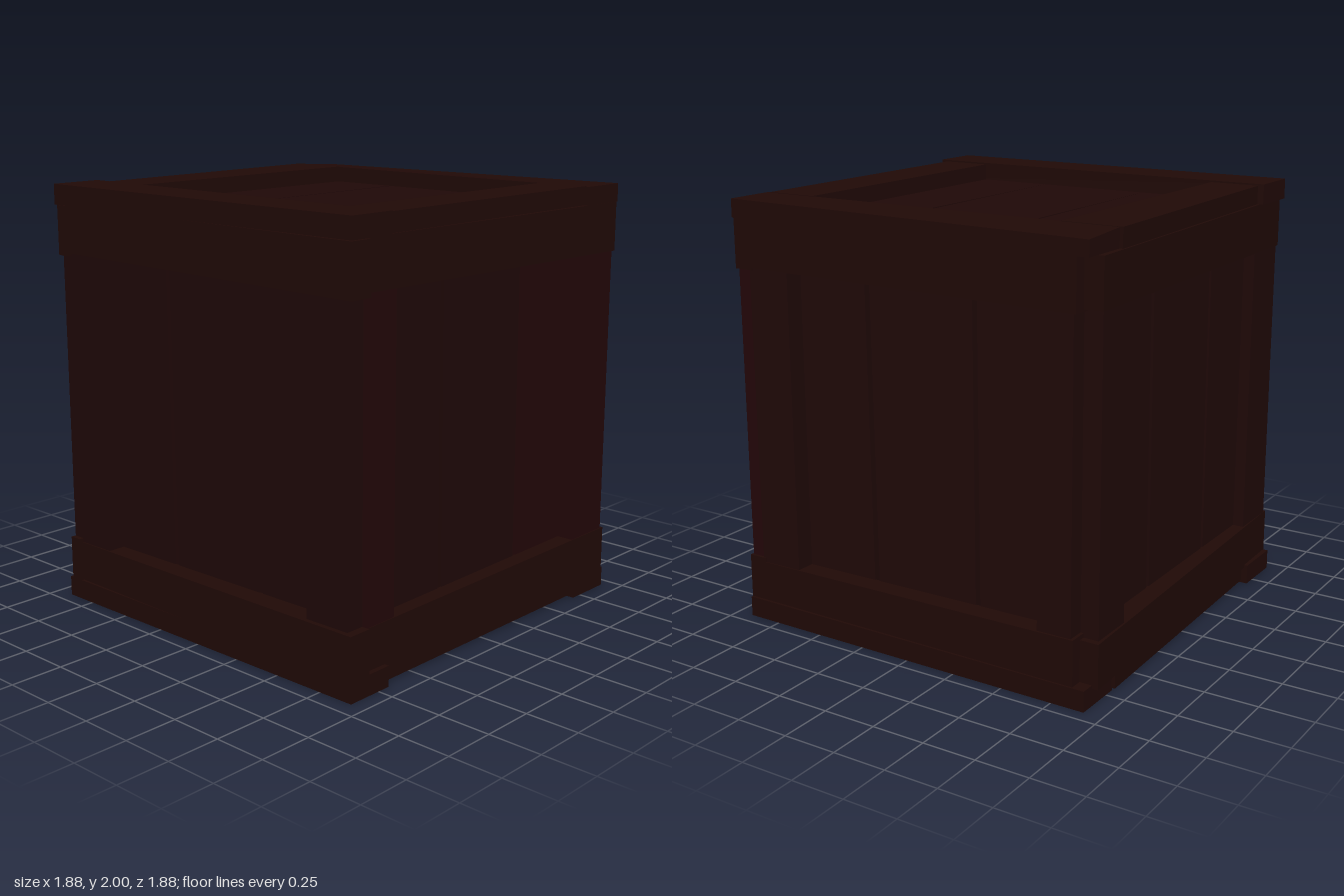
import * as THREE from 'three';

const wood = new THREE.MeshStandardMaterial({ color: 0x200906, flatShading: true });
const darkWood = new THREE.MeshStandardMaterial({ color: 0x1f0807, flatShading: true });
const redWood = new THREE.MeshStandardMaterial({ color: 0x230608, flatShading: true });

// A board between two corners; warp(v) may nudge each corner for a hand-cut look.
function board(name, min, max, material, warp) {
  const size = max.map((m, i) => m - min[i]);
  const geo = new THREE.BoxGeometry(...size);
  geo.translate(...min.map((m, i) => m + size[i] / 2));
  if (warp) {
    const pos = geo.attributes.position;
    const v = new THREE.Vector3();
    for (let i = 0; i < pos.count; i++) {
      v.fromBufferAttribute(pos, i);
      warp(v);
      pos.setXYZ(i, v.x, v.y, v.z);
    }
    geo.computeVertexNormals();
  }
  const mesh = new THREE.Mesh(geo, material);
  mesh.name = name;
  return mesh;
}

// One upright side facing +z. rail and post give the front depth at the left and right;
// railEnds and postEnd say how far the boards reach towards the corners.
function createSide(name, { rail, railEnds, post, postEnd, red }) {
  const side = new THREE.Group();
  side.name = name;
  const inner = 0.825;
  const postWood = red ? redWood : darkWood;

  const slantFront = v => { if (v.z > 0.85) v.z = v.x < 0 ? rail[0] : rail[1]; };
  side.add(
    board('topRail', [railEnds[0], 1.685, inner], [railEnds[1], 1.905, 0.9], wood, v => {
      slantFront(v);
      if (v.y < 1.8 && v.x > 0) v.y -= 0.01;
    }),
    board('bottomRail', [railEnds[0], 0.08, inner], [railEnds[1], 0.285, 0.9], wood, v => {
      slantFront(v);
      if (v.y > 0.2 && v.x > 0) v.y += 0.02;
    }),
    board('leftPost', [-0.84, 0.27, inner], [-0.625, 1.7, post[0]], postWood),
    board('rightPost', [0.67, 0.27, inner], [postEnd, 1.7, post[1]], postWood)
  );

  // Recessed planks with slightly crooked gaps between them
  const edges = [[-0.82, -0.268], [-0.243, 0.295], [0.318, 0.82]];
  edges.forEach(([a, b], i) => side.add(
    board('sidePlank', [a, 0.09, 0.77], [b, 1.905, 0.83], red && i === 2 ? redWood : darkWood, v => {
      if (Math.abs(v.x) < 0.4 && v.y < 1) v.x += v.x > 0.2 ? 0.008 : 0.02;
    })
  ));
  return side;
}

// Lid and base share one layout: long edge boards, cross boards and recessed planks.
function createCap(name, y0, y1, plankY0, plankY1) {
  const cap = new THREE.Group();
  cap.name = name;
  const isLid = name === 'lid';
  const cross = isLid ? [y0, y1 - 0.008] : [y0 + 0.012, y1];
  cap.add(
    board('leftEdgeBoard', [-0.935, y0, -0.91], [-0.685, y1, 0.925], wood, v => {
      if (v.z > 0 && v.x < -0.8) v.x += 0.015;
    }),
    board('rightEdgeBoard', [0.695, y0, -0.91], [0.938, y1, 0.915], wood, v => {
      if (isLid && v.y > 1.95) v.y -= v.z < 0 && v.x > 0.8 ? 0.025 : 0.01;
    }),
    board('frontEdgeBoard', [-0.69, cross[0], 0.65], [0.7, cross[1], 0.895], wood),
    board('backEdgeBoard', [-0.69, cross[0], -0.88], [0.7, cross[1], -0.64], wood, v => {
      if (v.z < -0.8 && v.x > 0) v.z = -0.925;
    })
  );

  // Three planks whose gaps open up towards one end
  [[-0.83, -0.272], [-0.272, 0.285], [0.285, 0.83]].forEach(([a, b], i) => cap.add(
    board('capPlank', [-0.5, plankY0, a], [0.82, plankY1, b], darkWood, v => {
      if (v.x < 0) {
        v.x = -0.82;
        return;
      }
      if (Math.abs(v.z) > 0.5) return;
      if (i === 0) v.z -= 0.018;
      if (i === 1 && v.z > 0) v.z -= 0.004;
      if (i === 2) v.z += 0.018;
    })
  ));
  return cap;
}

export function createModel() {
  const crate = new THREE.Group();
  crate.name = 'crate';

  // Four sides, each turned a quarter; boards overlap at the corners, with one open back corner
  const sides = [
    ['frontSide', { rail: [0.9, 0.918], railEnds: [-0.83, 0.925], post: [0.898, 0.912], postEnd: 0.91, red: true }],
    ['rightHandSide', { rail: [0.925, 0.93], railEnds: [-0.83, 0.85], post: [0.92, 0.92], postEnd: 0.835 }],
    ['backSide', { rail: [0.938, 0.885], railEnds: [-0.87, 0.94], post: [0.922, 0.885], postEnd: 0.915 }],
    ['leftHandSide', { rail: [0.92, 0.94], railEnds: [-0.83, 0.94], post: [0.915, 0.915], postEnd: 0.9 }]
  ];
  sides.forEach(([name, options], i) => {
    const side = createSide(name, options);
    side.rotation.y = i * Math.PI / 2;
    crate.add(side);
  });

  crate.add(
    createCap('lid', 1.905, 2, 1.86, 1.915),
    createCap('base', 0, 0.095, 0.085, 0.14)
  );
  return crate;
}
